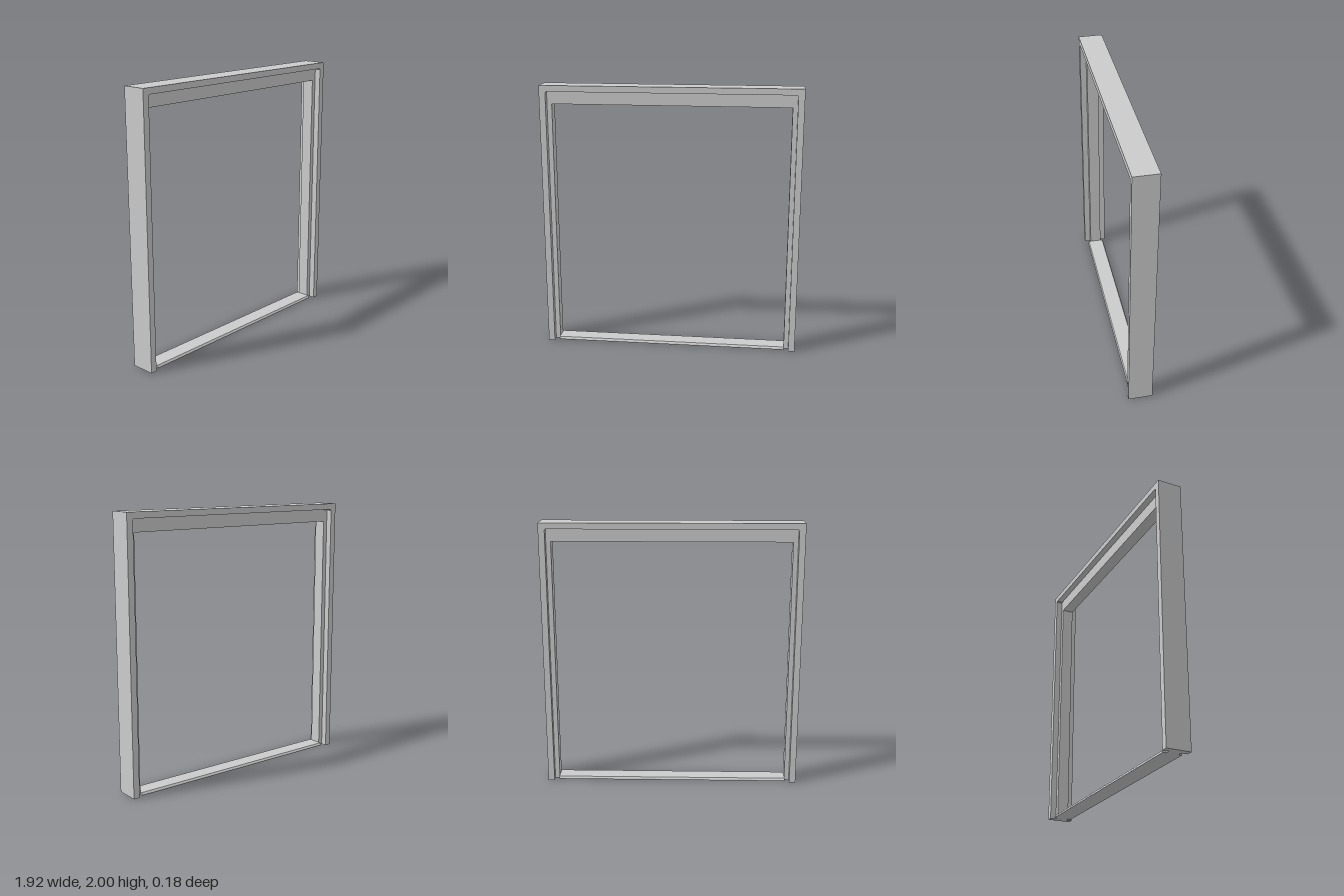
import * as THREE from 'three';

const material = new THREE.MeshStandardMaterial({ color: 0xcccccc, flatShading: true });

function add(group, name, geometry, x = 0, y = 0, z = 0) {
  const mesh = new THREE.Mesh(geometry, material);
  mesh.name = name;
  mesh.position.set(x, y, z);
  group.add(mesh);
}

function extrude(points, depth) {
  const shape = new THREE.Shape(points.map(([x, y]) => new THREE.Vector2(x, y)));
  const geometry = new THREE.ExtrudeGeometry(shape, { depth, bevelEnabled: false });
  return geometry.translate(0, 0, -depth / 2);
}

export function createModel() {
  const group = new THREE.Group();
  group.name = 'doorFrame';

  // Outer lining: an upside-down U with slightly eased inner corners
  const outer = 0.96, inner = 0.913, under = 1.955, ease = 0.008;
  add(group, 'outerFrame', extrude([
    [-outer, 0], [-inner, 0], [-inner, under - ease], [-inner + ease, under],
    [inner - ease, under], [inner, under - ease], [inner, 0],
    [outer, 0], [outer, 2], [-outer, 2],
  ], 0.18));

  // Narrower stops along both jambs
  for (const side of [-1, 1]) {
    add(group, side > 0 ? 'leftStop' : 'rightStop',
      new THREE.BoxGeometry(0.035, 1.95, 0.088), side * 0.8955, 0.975, 0);
  }

  // Deep stop under the head
  add(group, 'headStop', new THREE.BoxGeometry(1.756, 0.095, 0.088), 0, 1.9075, 0);

  // Low threshold with sloped long edges
  const threshold = extrude([
    [-0.068, 0], [0.068, 0], [0.068, 0.008], [0.06, 0.02], [-0.06, 0.02], [-0.068, 0.008],
  ], 1.756);
  add(group, 'threshold', threshold.rotateY(Math.PI / 2));

  return group;
}
